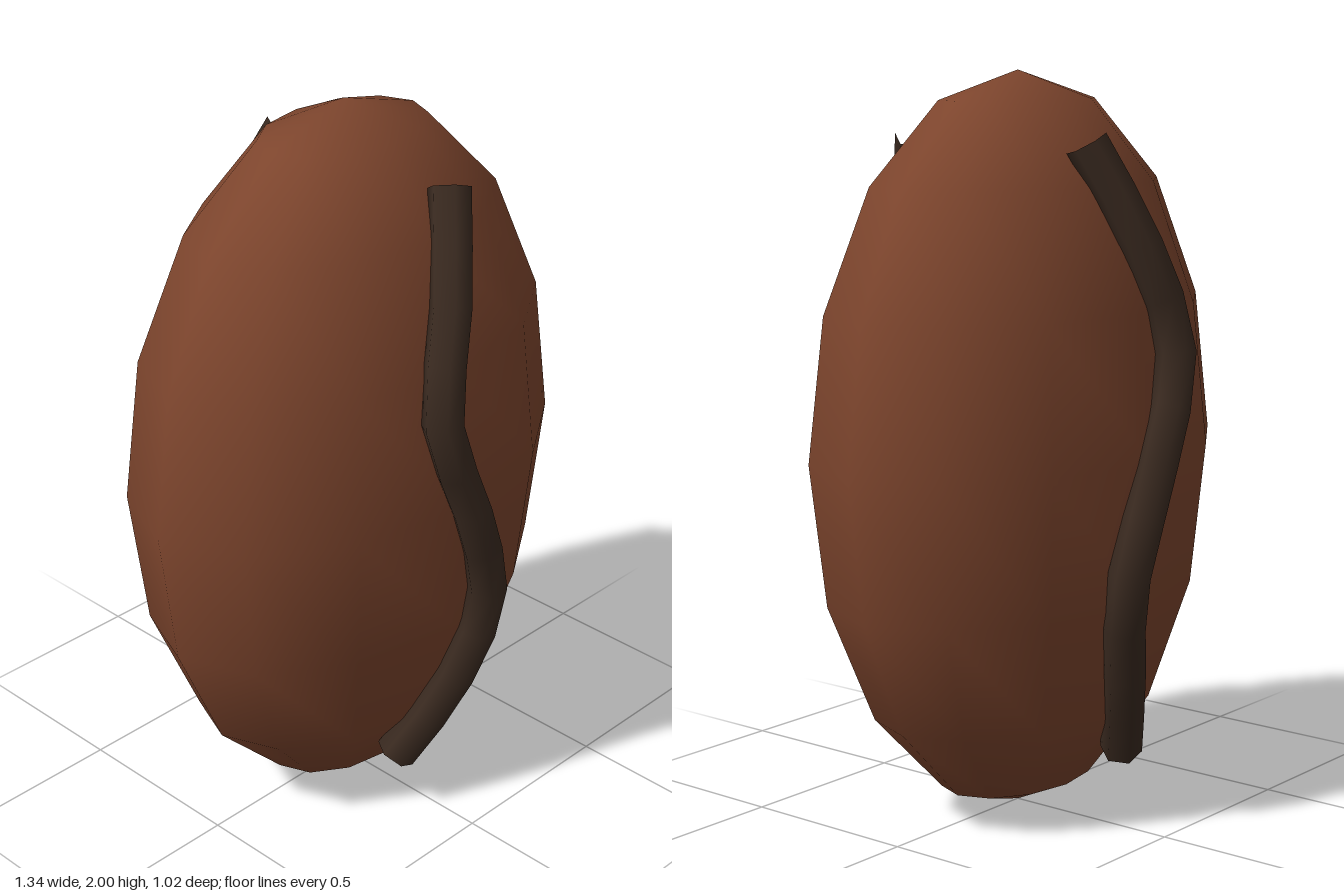
import * as THREE from 'three';

const shell = new THREE.MeshStandardMaterial({ color: 0x7d452d });
shell.name = 'roasted brown';
const dark = new THREE.MeshStandardMaterial({ color: 0x3a2a20 });
dark.name = 'dark brown';

// S-shaped seam following the bean's face; side is +1 for front, -1 for back
function makeSeam(side) {
  const path = [
    [0.08, 0.82], [-0.02, 0.56], [-0.1, 0.28], [0, 0],
    [0.095, -0.32], [0.02, -0.6], [-0.09, -0.82],
  ];
  const points = path.map(([x, y]) =>
    new THREE.Vector3(x, y + 1, side * 0.46 * Math.sqrt(1 - 0.9 * y * y)));
  const curve = new THREE.CatmullRomCurve3(points);
  const seam = new THREE.Mesh(new THREE.TubeGeometry(curve, 12, 0.057, 6), dark);
  seam.name = side > 0 ? 'frontSeam' : 'backSeam';
  return seam;
}

export function createModel() {
  const group = new THREE.Group();
  group.name = 'bean';

  // Flattened low-poly ellipsoid body with smooth normals
  const geometry = new THREE.SphereGeometry(1, 12, 8);
  geometry.scale(0.67, 1, 0.445);
  geometry.translate(0, 1, 0);
  const body = new THREE.Mesh(geometry, shell);
  body.name = 'beanBody';
  group.add(body);

  // One raised seam on each face
  for (const side of [1, -1]) group.add(makeSeam(side));
  return group;
}
